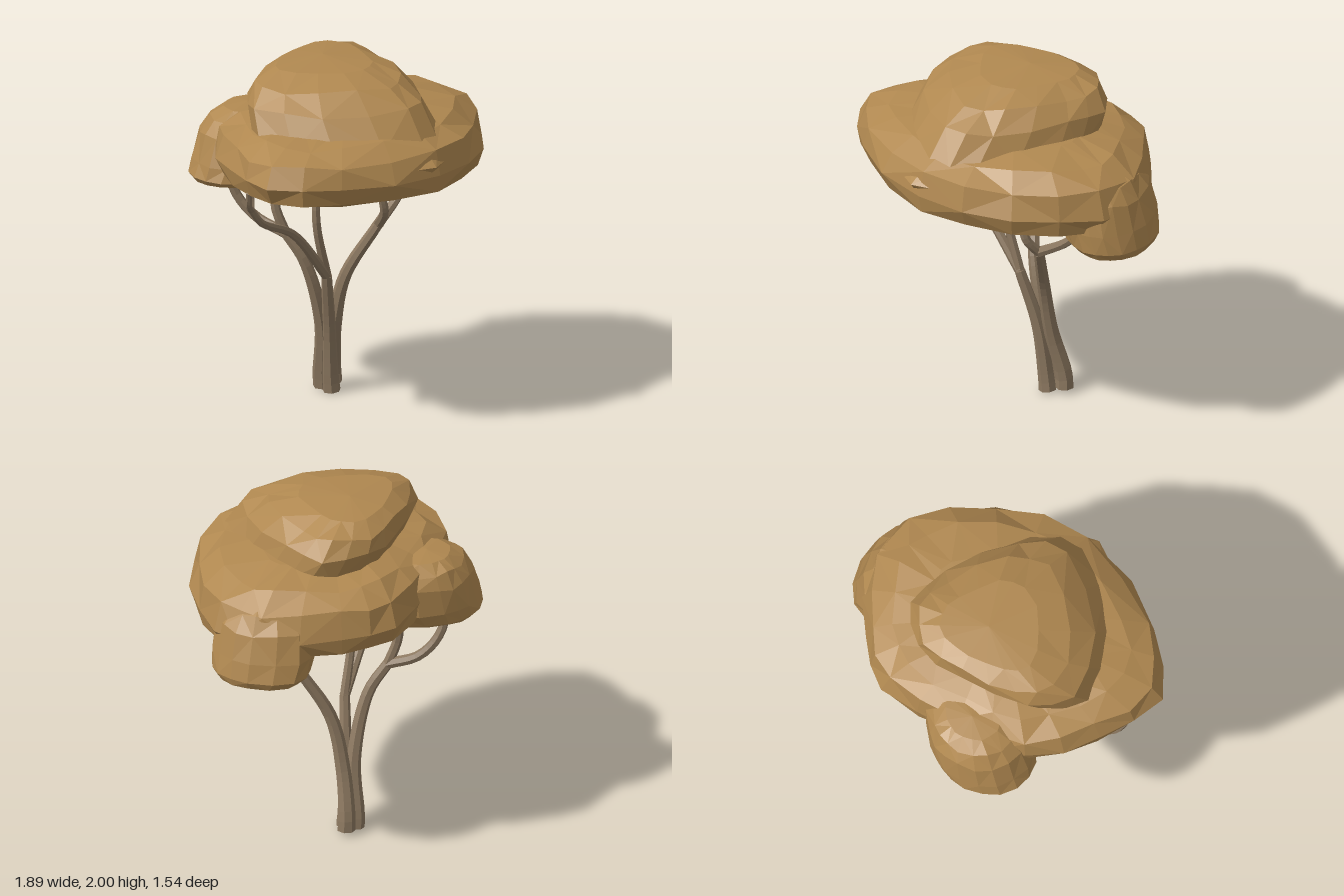
import * as THREE from 'three';

const leafMat = new THREE.MeshStandardMaterial({ color: 0xb08850, flatShading: true });
const barkMat = new THREE.MeshStandardMaterial({ color: 0x8c7860, flatShading: true });

// Signed power, used for the rounded-box profile of the foliage
const power = (v, e) => Math.sign(v) * Math.pow(Math.abs(v), e);

// Foliage mass: a smooth plan outline [x, z], counter-clockwise from above, swept through a
// superellipse profile with a flat underside. Lean shifts the layers, tilt slopes the underside.
function foliage(name, outline, { bottom, wide, top, lean, tilt = 0, sides = 18 }) {
  const curve = new THREE.CatmullRomCurve3(outline.map(([x, z]) => new THREE.Vector3(x, 0, z)), true);
  const plan = Array.from({ length: sides }, (_, i) => curve.getPoint(i / sides));
  const centre = plan.reduce((sum, p) => sum.add(p), new THREE.Vector3()).divideScalar(sides);
  const pos = [], index = [], layers = 8;
  for (let j = 0; j <= layers; j++) {
    const u = (j / layers - 0.5) * Math.PI;
    const e = u < 0 ? 0.55 : 0.7;
    const pole = j === 0 || j === layers;
    const s = pole ? 0 : power(Math.cos(u), e);
    const h = power(Math.sin(u), e);
    const y = wide + h * (h < 0 ? wide - bottom : top - wide);
    plan.forEach((p, i) => {
      const k = pole ? 0 : s + 0.015 * Math.sin(i * 2.3 + j * 1.9);
      const x = centre.x + (p.x - centre.x) * k + lean[0] * h;
      const z = centre.z + (p.z - centre.z) * k + lean[1] * h;
      const bump = h > 0 && j < layers - 1 ? 0.012 * Math.sin(i * 1.7 + j * 2.6) : 0;
      pos.push(x, y + bump + tilt * x * (1 - Math.max(h, 0)), z);
    });
  }
  for (let j = 0; j < layers; j++) {
    for (let i = 0; i < sides; i++) {
      const a = j * sides + i, b = j * sides + (i + 1) % sides;
      const c = b + sides, d = a + sides;
      if ((i + j) % 2) index.push(a, b, c, a, c, d);
      else index.push(a, b, d, b, c, d);
    }
  }
  const geo = new THREE.BufferGeometry();
  geo.setAttribute('position', new THREE.Float32BufferAttribute(pos, 3));
  geo.setIndex(index);
  geo.computeVertexNormals();
  const mesh = new THREE.Mesh(geo, leafMat);
  mesh.name = name;
  return mesh;
}

// Tapered limb along a smooth path; the outermost rings shrink to a point to cap each end flat
function limb(name, r0, r1, ...points) {
  const curve = new THREE.CatmullRomCurve3(points.map(p => new THREE.Vector3(...p)));
  const segs = points.length * 4, sides = 7;
  const geo = new THREE.TubeGeometry(curve, segs, 1, sides);
  const p = geo.attributes.position, v = new THREE.Vector3();
  for (let i = 0; i <= segs; i++) {
    const t = THREE.MathUtils.clamp((i - 1) / (segs - 2), 0, 1);
    const from = curve.getPointAt(i / segs), to = curve.getPointAt(t);
    const r = i % segs ? r0 + (r1 - r0) * Math.pow(t, 0.8) : 0;
    for (let k = 0; k <= sides; k++) {
      const id = i * (sides + 1) + k;
      v.fromBufferAttribute(p, id).sub(from).multiplyScalar(r).add(to);
      p.setXYZ(id, v.x, v.y, v.z);
    }
  }
  geo.computeVertexNormals();
  const mesh = new THREE.Mesh(geo, barkMat);
  mesh.name = name;
  return mesh;
}

export function createModel() {
  const model = new THREE.Group();
  model.name = 'tree';

  // Canopy: broad main mass, crown sloping up from the front, drooping lobes at the left and back
  const canopy = new THREE.Group();
  canopy.name = 'canopy';
  canopy.add(
    foliage('mainCanopy', [
      [-0.93, 0.2], [-0.68, 0.52], [-0.1, 0.77], [0.45, 0.64], [0.82, 0.3], [0.85, 0.02],
      [0.63, -0.38], [0.38, -0.58], [-0.1, -0.57], [-0.5, -0.49], [-0.78, -0.17],
    ], { bottom: 1.335, wide: 1.5, top: 1.76, lean: [0, 0], tilt: -0.045, sides: 22 }),
    foliage('crown', [
      [-0.65, -0.05], [-0.52, 0.35], [-0.12, 0.67], [0.15, 0.57], [0.4, 0.18],
      [0.46, -0.08], [0.28, -0.29], [-0.05, -0.31], [-0.45, -0.24],
    ], { bottom: 1.5, wide: 1.66, top: 2, lean: [0.05, -0.2] }),
    foliage('leftLobe', [
      [0.8, -0.2], [0.58, -0.2], [0.4, 0.05], [0.5, 0.28], [0.7, 0.36], [0.85, 0.29], [0.92, 0.08],
    ], { bottom: 1.18, wide: 1.36, top: 1.66, lean: [-0.06, 0], sides: 16 }),
    foliage('backLobe', [
      [-0.52, -0.5], [-0.42, -0.3], [-0.1, -0.25], [0.14, -0.45], [-0.02, -0.7], [-0.19, -0.765], [-0.42, -0.7],
    ], { bottom: 1.27, wide: 1.4, top: 1.69, lean: [0.06, 0.02], sides: 16 }),
  );

  // Three stems rising from one base, each dividing at a fork
  const wood = new THREE.Group();
  wood.name = 'trunk';
  const backFork = [-0.11, 0.95, -0.29];
  const middleFork = [-0.04, 0.73, -0.06];
  const frontFork = [0.22, 0.99, 0.1];
  const rightTwigFork = [-0.73, 1.31, -0.06];
  const frontTwigFork = [0.14, 1.23, 0.17];
  wood.add(
    limb('backStem', 0.052, 0.03, [0.11, 0.02, -0.2], [0.1, 0.09, -0.2], [0.05, 0.4, -0.16], [-0.05, 0.78, -0.2], backFork),
    limb('backOuterBranch', 0.032, 0.024, backFork, [-0.15, 1.02, -0.46], [-0.2, 1.15, -0.56], [-0.26, 1.4, -0.6]),
    limb('backInnerBranch', 0.03, 0.024, backFork, [-0.14, 1.12, -0.34], [-0.08, 1.42, -0.36]),
    limb('middleStem', 0.05, 0.03, [0.1, 0.01, -0.13], [0.09, 0.09, -0.13], [0.05, 0.4, -0.11], middleFork),
    limb('middleBranch', 0.028, 0.02, middleFork, [-0.135, 1.08, -0.06], [-0.1, 1.42, -0.07]),
    limb('longRightBranch', 0.03, 0.02, middleFork, [-0.33, 1.05, -0.07], [-0.64, 1.21, -0.06], rightTwigFork),
    limb('rightOuterTwig', 0.02, 0.016, rightTwigFork, [-0.79, 1.35, -0.03], [-0.83, 1.45, 0]),
    limb('rightInnerTwig', 0.019, 0.016, rightTwigFork, [-0.7, 1.36, -0.08], [-0.69, 1.45, -0.09]),
    limb('frontStem', 0.052, 0.03, [0.18, 0.03, -0.18], [0.175, 0.11, -0.18], [0.125, 0.38, -0.13], [0.13, 0.68, -0.06], frontFork),
    limb('leftBranch', 0.03, 0.021, frontFork, [0.43, 1.13, 0.1], [0.57, 1.32, 0.07]),
    limb('frontBranch', 0.029, 0.022, frontFork, [0.18, 1.09, 0.17], frontTwigFork),
    limb('frontInnerTwig', 0.022, 0.018, frontTwigFork, [0.06, 1.27, 0.15], [-0.03, 1.4, 0.13]),
    limb('frontOuterTwig', 0.022, 0.018, frontTwigFork, [0.18, 1.29, 0.19], [0.21, 1.42, 0.2]),
  );

  model.add(canopy, wood);
  return model;
}
